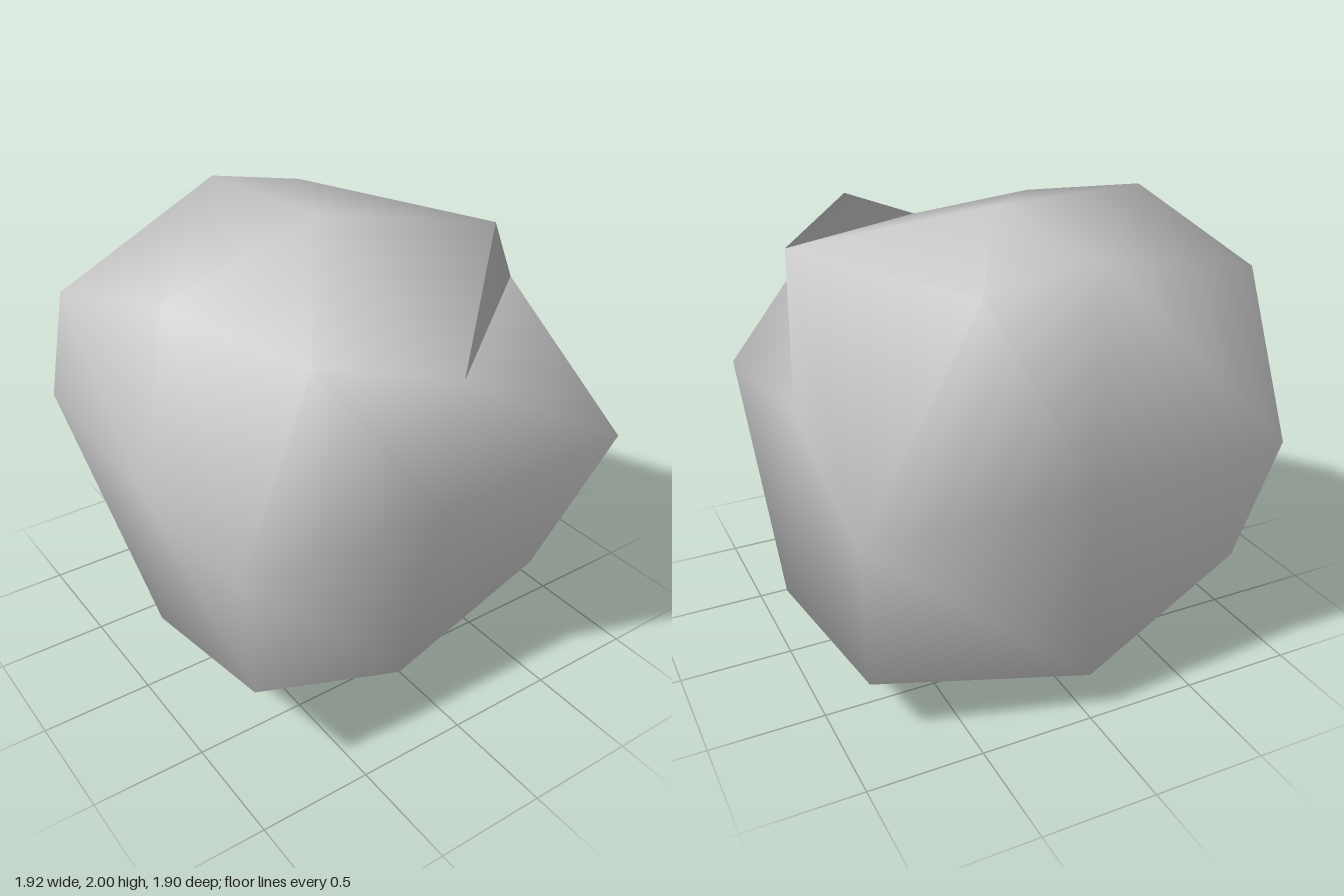
import * as THREE from 'three';

// Corner, edge and face points of a weathered block, as three layers from bottom to top.
// Each layer runs back to front, and each row left to right in x.
const layers = [
  [ // bottom
    [[-0.74, 0.55, -0.90], [-0.02, 0.18, -0.95], [0.87, 0.27, -0.72]],
    [[-0.89, 0.33, -0.02], [-0.22, 0.00, -0.11], [0.96, 0.24, 0.13]],
    [[-0.90, 0.52, 0.80], [-0.17, 0.24, 0.79], [0.68, 0.41, 0.69]],
  ],
  [ // middle
    [[-0.92, 1.07, -0.94], [-0.05, 1.00, -0.90], [0.94, 1.01, -0.89]],
    [[-0.95, 1.05, 0.05], null, [0.91, 1.20, -0.04]],
    [[-0.94, 1.05, 0.79], [0.00, 1.00, 0.80], [0.94, 1.10, 0.88]],
  ],
  [ // top
    [[-0.96, 1.73, -0.58], [-0.02, 1.97, -0.92], [0.44, 1.88, -0.88]],
    [[-0.87, 1.93, 0.18], [0.03, 2.00, -0.15], [0.86, 1.86, 0.09]],
    [[-0.58, 1.81, 0.74], [-0.05, 1.70, 0.95], [0.40, 1.91, 0.68]],
  ],
];

// Two directions along each side of the block; their cross product points outward
const sides = [
  [[0, 0, -1], [0, 1, 0]], [[0, 0, 1], [0, 1, 0]],
  [[1, 0, 0], [0, 1, 0]], [[-1, 0, 0], [0, 1, 0]],
  [[0, 0, 1], [1, 0, 0]], [[0, 0, 1], [-1, 0, 0]],
];

function rockGeometry() {
  const positions = [], normals = [];
  const ids = new Map();
  layers.forEach((layer, y) => layer.forEach((row, z) => row.forEach((p, x) => {
    if (!p) return;
    ids.set([x, y, z].join(), positions.length / 3);
    positions.push(...p);
    // Normals point straight out from the centre, for a soft rounded look
    normals.push(...new THREE.Vector3(p[0], p[1] - 1, p[2]).normalize());
  })));

  // Four quads per side, sharing points with the neighbouring sides
  const index = [];
  for (const [u, v] of sides) {
    const right = new THREE.Vector3(...u), up = new THREE.Vector3(...v);
    const out = right.clone().cross(up);
    const id = (s, t) => {
      const p = out.clone().addScaledVector(right, s).addScaledVector(up, t);
      return ids.get([p.x + 1, p.y + 1, p.z + 1].join());
    };
    for (const s of [-1, 0]) for (const t of [-1, 0]) {
      const tl = id(s, t + 1), bl = id(s, t), br = id(s + 1, t), tr = id(s + 1, t + 1);
      index.push(tl, bl, br, tl, br, tr);
    }
  }

  const geometry = new THREE.BufferGeometry();
  geometry.setAttribute('position', new THREE.Float32BufferAttribute(positions, 3));
  geometry.setAttribute('normal', new THREE.Float32BufferAttribute(normals, 3));
  geometry.setIndex(index);
  return geometry;
}

export function createModel() {
  const group = new THREE.Group();
  group.name = 'boulder';
  const stone = new THREE.MeshStandardMaterial({ color: 0xc8c8c8 });
  stone.name = 'stone grey';
  const rock = new THREE.Mesh(rockGeometry(), stone);
  rock.name = 'rock';
  group.add(rock);
  return group;
}
